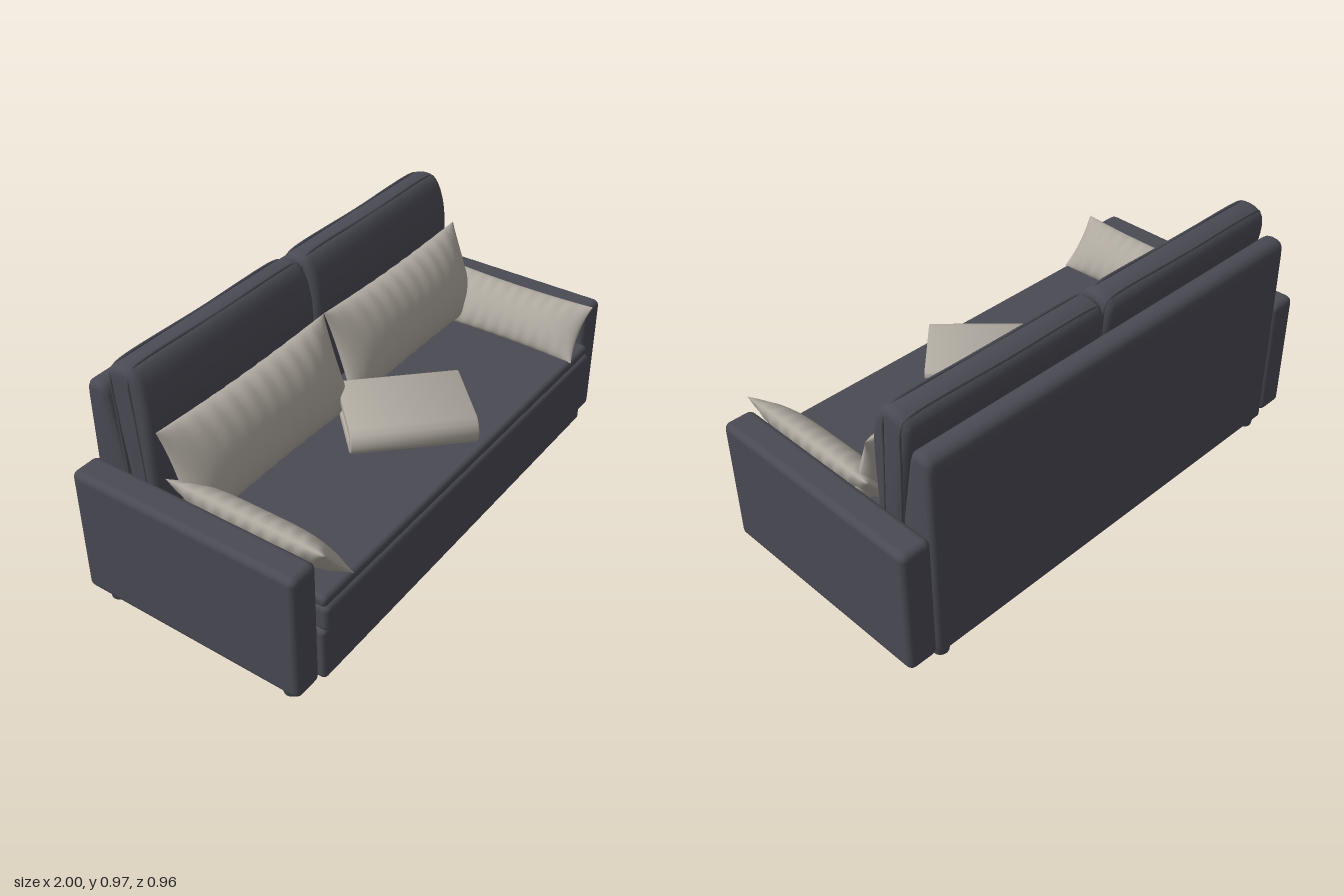
import * as THREE from 'three';
import { mergeGeometries, toCreasedNormals } from 'three/addons/utils/BufferGeometryUtils.js';
import { RoundedBoxGeometry } from 'three/addons/geometries/RoundedBoxGeometry.js';

const upholstery = new THREE.MeshStandardMaterial({ color: 0x4a4a54 });
upholstery.name = 'charcoal upholstery';
const linen = new THREE.MeshStandardMaterial({ color: 0xaea89f });
linen.name = 'warm grey linen';

function add(parent, name, geometry, material, x = 0, y = 0, z = 0) {
  const mesh = new THREE.Mesh(geometry, material);
  mesh.name = name;
  mesh.position.set(x, y, z);
  parent.add(mesh);
  return mesh;
}

// Rounded block given by its limits on each axis
function block(parent, name, [x0, x1], [y0, y1], [z0, z1], radius) {
  const g = new RoundedBoxGeometry(x1 - x0, y1 - y0, z1 - z0, 4, radius);
  return add(parent, name, g, upholstery, (x0 + x1) / 2, (y0 + y1) / 2, (z0 + z1) / 2);
}

// Side profile in (z, y), swept across a width with softened edges
function sweep(shape, width, bevel) {
  const g = new THREE.ExtrudeGeometry(shape, {
    depth: width - 2 * bevel, bevelThickness: bevel, bevelSize: bevel,
    bevelOffset: -bevel, bevelSegments: 4, curveSegments: 10,
  });
  g.translate(0, 0, bevel - width / 2);
  return toCreasedNormals(g, 0.7);
}

function profile(points) {
  return new THREE.Shape(points.map(([a, b]) => new THREE.Vector2(a, b)));
}

// Stuffed pillow: two domed sheets with pulled-in edges and small creases
function pillowGeometry(width, height, thickness) {
  const sheet = (side) => {
    const g = new THREE.PlaneGeometry(2, 2, 64, 24);
    const p = g.attributes.position;
    for (let i = 0; i < p.count; i++) {
      const u = Math.sin(p.getX(i) * Math.PI / 2);
      const v = Math.sin(p.getY(i) * Math.PI / 2);
      const rim = Math.sqrt(Math.max(0, 1 - v * v));
      const dome = Math.pow(Math.max(0, 1 - u ** 4), 0.6) * Math.pow(rim, 1.1);
      const crease = 0.012 * Math.sin(u * side * 34 + v) * v * v * rim * (1 - u * u);
      p.setXYZ(i,
        u * width / 2 * (1 - 0.05 * (1 - v * v)),
        v * height / 2 * (1 - 0.07 * (1 - u * u)),
        dome * thickness / 2 + crease);
    }
    g.computeVertexNormals();
    if (side < 0) g.rotateY(Math.PI);
    return g;
  };
  return mergeGeometries([sheet(1), sheet(-1)]);
}

// Piping that runs up one side of a back cushion, over the top and down
function pipingGeometry(halfWidth, top, zLow, zHigh) {
  const path = [[-1, 0.42], [-1, 0.6], [-1, 0.8], [-1, top - 0.04]].map(([s, y]) => [s * halfWidth, y]);
  path.push([-halfWidth + 0.011, top - 0.011], [-halfWidth + 0.04, top], [0, top]);
  const mirrored = path.slice(0, -1).reverse().map(([x, y]) => [-x, y]);
  const points = [...path, ...mirrored].map(([x, y]) =>
    new THREE.Vector3(x, y, THREE.MathUtils.lerp(zLow, zHigh, (y - 0.42) / (top - 0.42))));
  const curve = new THREE.CatmullRomCurve3(points, false, 'centripetal');
  return new THREE.TubeGeometry(curve, 80, 0.006, 6);
}

export function createModel() {
  const sofa = new THREE.Group();
  sofa.name = 'sofa';

  // Base and two-layer seat
  block(sofa, 'base', [-0.88, 0.88], [0.05, 0.265], [-0.45, 0.463], 0.018);
  block(sofa, 'seatLower', [-0.88, 0.88], [0.268, 0.375], [-0.36, 0.479], 0.022);
  block(sofa, 'seatUpper', [-0.878, 0.878], [0.366, 0.41], [-0.36, 0.468], 0.018);

  // Back frame, thicker toward the bottom
  const frame = profile([[-0.48, 0.05], [-0.33, 0.05], [-0.335, 0.55], [-0.385, 0.82], [-0.393, 0.843],
    [-0.408, 0.856], [-0.43, 0.86], [-0.452, 0.857], [-0.47, 0.847], [-0.478, 0.83], [-0.48, 0.8]]);
  const frameGeometry = sweep(frame, 1.76, 0.025);
  frameGeometry.rotateY(-Math.PI / 2);
  add(sofa, 'backFrame', frameGeometry, upholstery);

  // Back cushion shape, leaning and rounded over the top
  const cushionCurve = new THREE.SplineCurve([[-0.33, 0.4], [-0.215, 0.4], [-0.21, 0.55], [-0.209, 0.72],
    [-0.214, 0.82], [-0.235, 0.9], [-0.265, 0.947], [-0.3, 0.96], [-0.345, 0.953], [-0.375, 0.93],
    [-0.385, 0.88], [-0.365, 0.75], [-0.338, 0.56], [-0.33, 0.4]].map(([a, b]) => new THREE.Vector2(a, b)));
  const cushionGeometry = sweep(new THREE.Shape(cushionCurve.getPoints(52).slice(0, -1)), 0.872, 0.03);
  cushionGeometry.rotateY(-Math.PI / 2);
  const frontPiping = pipingGeometry(0.434, 0.956, -0.245, -0.285);
  const rearPiping = pipingGeometry(0.434, 0.945, -0.325, -0.36);

  const lumbarGeometry = pillowGeometry(0.88, 0.37, 0.17);
  const armPillowGeometry = pillowGeometry(0.64, 0.235, 0.105);
  const legGeometry = new THREE.CylinderGeometry(0.038, 0.029, 0.056, 20);

  for (const s of [1, -1]) {
    const side = s > 0 ? 'left' : 'right';
    block(sofa, side + 'Arm', s > 0 ? [0.88, 1] : [-1, -0.88], [0.05, 0.557], [-0.478, 0.446], 0.026);

    const cushion = new THREE.Group();
    cushion.name = side + 'BackCushion';
    cushion.position.x = s * 0.443;
    add(cushion, 'cushionBody', cushionGeometry, upholstery);
    add(cushion, 'frontPiping', frontPiping, upholstery);
    add(cushion, 'rearPiping', rearPiping, upholstery);
    sofa.add(cushion);

    // Long pillow against the back
    const lumbar = add(sofa, side + 'LumbarPillow', lumbarGeometry, linen, s * 0.44, 0.592, -0.12);
    lumbar.rotation.x = -0.35;

    // Slim pillow tilted against the arm
    const armPillow = add(sofa, side + 'ArmPillow', armPillowGeometry, linen, s * 0.8, 0.496, 0.15);
    armPillow.rotation.set(0, -s * Math.PI / 2, -s * 0.69, 'ZYX');

    // Legs under the arm and beside it
    for (const [x, z] of [[0.935, 0.37], [0.835, 0.37], [0.935, -0.398], [0.835, -0.432]]) {
      add(sofa, side + 'Leg', legGeometry, upholstery, s * x, 0.028, z);
    }
  }

  // Folded blanket: one fold wrapped around an inner layer
  const blanket = new THREE.Group();
  blanket.name = 'foldedBlanket';
  blanket.position.set(0.015, 0.408, 0.17);
  blanket.rotation.y = 0.78;
  const fold = new THREE.Shape();
  fold.moveTo(0.155, 0);
  fold.lineTo(-0.12, 0);
  fold.absarc(-0.12, 0.055, 0.055, -Math.PI / 2, -Math.PI * 1.5, true);
  fold.lineTo(0.155, 0.11);
  fold.absarc(0.155, 0.09, 0.02, Math.PI / 2, -Math.PI / 2, true);
  fold.lineTo(-0.11, 0.07);
  fold.absarc(-0.11, 0.055, 0.015, Math.PI / 2, Math.PI * 1.5, false);
  fold.lineTo(0.155, 0.04);
  fold.absarc(0.155, 0.02, 0.02, Math.PI / 2, -Math.PI / 2, true);
  add(blanket, 'outerFold', sweep(fold, 0.46, 0.008), linen);
  add(blanket, 'innerFold', new RoundedBoxGeometry(0.26, 0.024, 0.445, 3, 0.01), linen, 0.03, 0.055, 0);
  sofa.add(blanket);

  return sofa;
}
